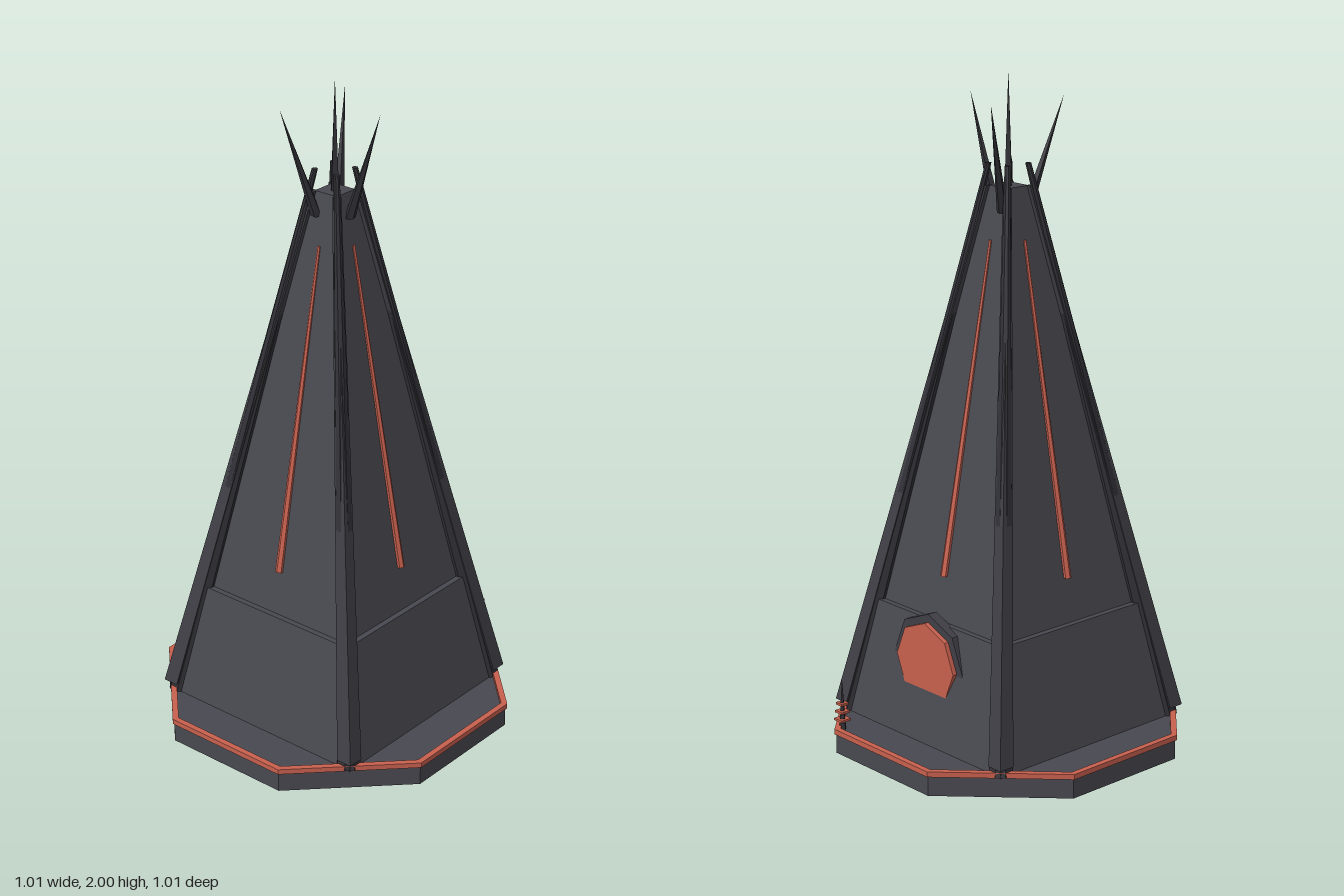
import * as THREE from 'three';

const stone = new THREE.MeshStandardMaterial({ name: 'slate grey', color: 0x484850 });
const beamGrey = new THREE.MeshStandardMaterial({ name: 'dark slate', color: 0x3e3e45 });
const iron = new THREE.MeshStandardMaterial({ name: 'dark iron', color: 0x303036 });
const coral = new THREE.MeshStandardMaterial({ name: 'coral', color: 0xc8604e });

// Faceted mesh: every face keeps its own normal
function part(name, geometry, material) {
  const flat = geometry.index ? geometry.toNonIndexed() : geometry;
  flat.computeVertexNormals();
  const mesh = new THREE.Mesh(flat, material);
  mesh.name = name;
  return mesh;
}

// Upright tapered prism between two centres, its ends kept level
function prism(from, to, r0, r1, sides, turn = 0) {
  const h = to[1] - from[1];
  const g = new THREE.CylinderGeometry(r1, r0, h, sides).rotateY(turn);
  const p = g.attributes.position;
  for (let i = 0; i < p.count; i++) {
    const t = p.getY(i) / h + 0.5;
    p.setXYZ(i, p.getX(i) + from[0] + (to[0] - from[0]) * t,
      from[1] + h * t, p.getZ(i) + from[2] + (to[2] - from[2]) * t);
  }
  return g;
}

// Square tower section given by half-widths
const square = (h0, h1, y0, y1) =>
  prism([0, y0, 0], [0, y1, 0], h0 * Math.SQRT2, h1 * Math.SQRT2, 4, Math.PI / 4);

const octagon = (apothem) => Array.from({ length: 8 }, (_, i) => {
  const a = (i + 0.5) * Math.PI / 4, r = apothem / Math.cos(Math.PI / 8);
  return new THREE.Vector2(Math.cos(a) * r, Math.sin(a) * r);
});

export function createModel() {
  const model = new THREE.Group();
  model.name = 'tower';

  // Octagonal base with a raised rim
  const baseR = 0.5 / Math.cos(Math.PI / 8);
  model.add(part('base', prism([0, 0, 0], [0, 0.063, 0], baseR, baseR, 8, Math.PI / 8), stone));
  const rimShape = new THREE.Shape(octagon(0.505));
  rimShape.holes.push(new THREE.Path(octagon(0.487)));
  const rim = new THREE.ExtrudeGeometry(rimShape, { depth: 0.016, bevelEnabled: false });
  model.add(part('baseRim', rim.rotateX(-Math.PI / 2).translate(0, 0.06, 0), coral));

  // Tower walls, stepping in at the ledge
  model.add(part('lowerWalls', square(0.36, 0.293, 0.06, 0.42), stone));
  model.add(part('upperWalls', square(0.275, 0.04, 0.42, 1.67), stone));

  // Corner beams with round poles running through them
  for (const sx of [-1, 1]) for (const sz of [-1, 1]) {
    model.add(part('cornerBeam', prism([0.345 * sx, 0.088, 0.345 * sz], [0.044 * sx, 1.67, 0.044 * sz],
      0.025 * Math.SQRT2, 0.009 * Math.SQRT2, 4, Math.PI / 4), beamGrey));
    model.add(part('cornerPole', prism([0.335 * sx, 0.063, 0.335 * sz], [0.04 * sx, 1.735, 0.04 * sz],
      0.037, 0.009, 8, Math.PI / 8), iron));
  }

  // Glowing strip up the middle of each wall
  for (let i = 0; i < 4; i++) {
    const strip = prism([0, 0.55, 0.252], [0, 1.52, 0.069], 0.013, 0.005, 6);
    model.add(part('wallStrip', strip.rotateY(i * Math.PI / 2), coral));
  }

  // Crown: one upright spike and three leaning ones
  model.add(part('centreSpike', prism([0, 1.6, 0], [0, 2, 0], 0.018, 0, 4), iron));
  for (let i = 0; i < 3; i++) {
    const spike = prism([0.055, 1.6, 0], [0.162, 1.925, 0], 0.017, 0, 5);
    model.add(part('leaningSpike', spike.rotateY(i * Math.PI * 2 / 3), iron));
  }

  // Round window in the back wall
  const disc = (r, z0, z1) => new THREE.CylinderGeometry(r, r, z1 - z0, 8)
    .rotateX(Math.PI / 2).translate(0, 0.297, (z0 + z1) / 2);
  model.add(part('windowFrame', disc(0.15, -0.317, -0.285), beamGrey));
  model.add(part('windowPane', disc(0.125, -0.331, -0.31), coral));

  // Small ringed mast on the back edge of the base
  const mast = new THREE.Group();
  mast.name = 'mast';
  mast.position.set(0.22, 0, -0.465);
  mast.add(part('mastSpike', prism([0, 0.06, 0], [0, 0.225, 0], 0.013, 0, 4), iron));
  [0.09, 0.115, 0.14].forEach((y, i) => {
    const r = 0.025 - i * 0.003;
    mast.add(part('mastRing', prism([0, y, 0], [0, y + 0.007, 0], r, r, 4, Math.PI / 4), coral));
  });
  model.add(mast);
  return model;
}
